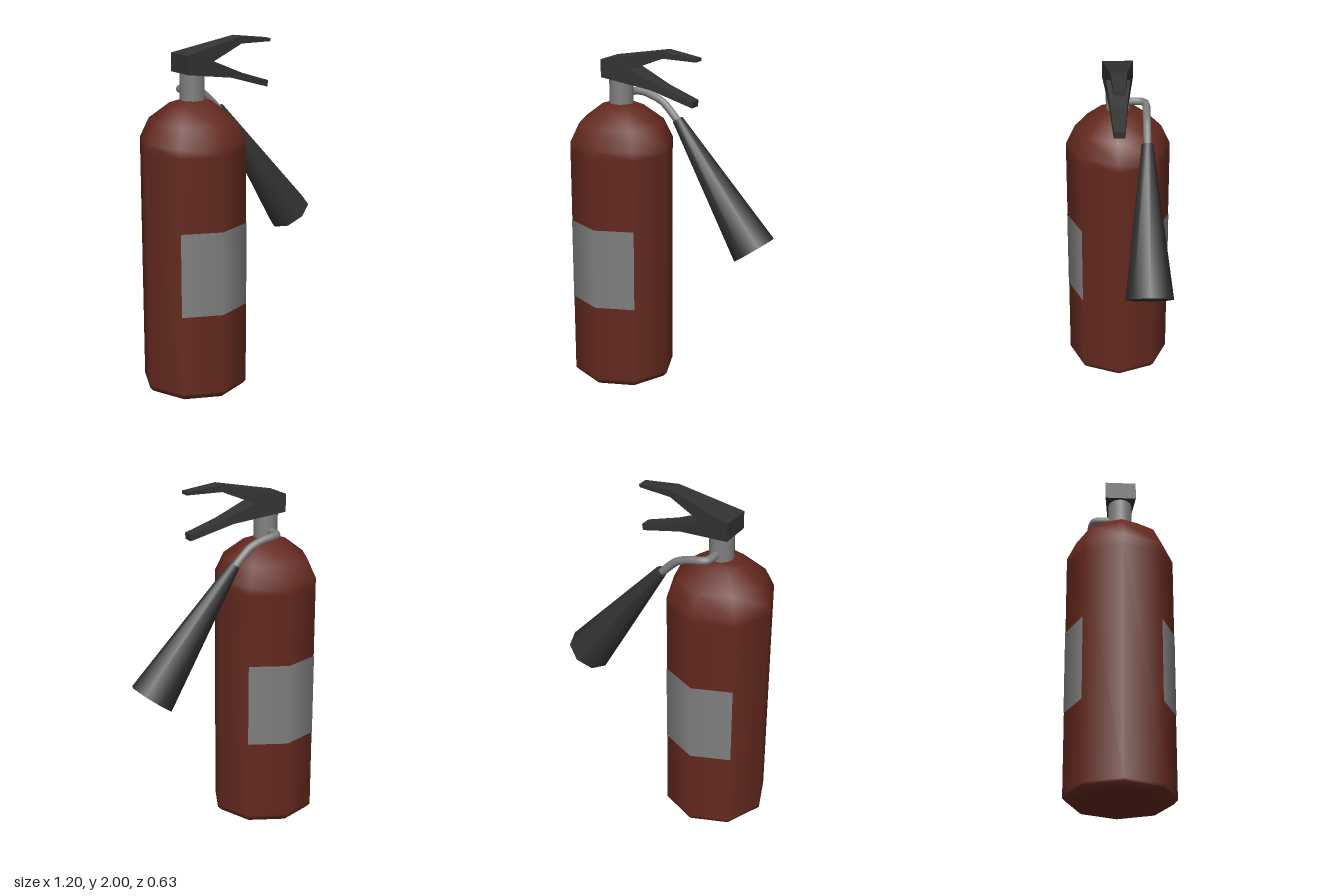
import * as THREE from 'three';

const mat = (name, color, side = THREE.FrontSide) => {
  const m = new THREE.MeshStandardMaterial({ color, side });
  m.name = name;
  return m;
};
const red = mat('dark red paint', 0x64291f);
const grey = mat('metal grey', 0x808080);
const black = mat('black plastic', 0x333333);

export function createModel() {
  const model = new THREE.Group();
  model.name = 'fireExtinguisher';
  // Everything is placed relative to the tank axis, which is turned slightly
  const unit = new THREE.Group();
  unit.name = 'extinguisher';
  unit.position.set(-0.3, 0, 0.007);
  unit.rotation.y = 0.04;
  model.add(unit);

  const add = (name, geometry, material, x = 0, y = 0, z = 0) => {
    const mesh = new THREE.Mesh(geometry, material);
    mesh.name = name;
    mesh.position.set(x, y, z);
    unit.add(mesh);
    return mesh;
  };

  // Eight-sided tank with bevelled base and domed shoulder
  const R = 0.303;
  const profile = [
    [0, 0], [0.27, 0], [0.28, 0.002], [R, 0.025], [R, 0.04], [R, 1.4],
    [R, 1.45], [0.25, 1.56], [0.13, 1.65], [0.07, 1.67], [0, 1.67],
  ].map(([r, y]) => new THREE.Vector2(r, y));
  add('tank', new THREE.LatheGeometry(profile, 8), red);

  // Labels covering two faces on the front and two on the back
  for (const [name, angle] of [['frontLabel', 0], ['backLabel', Math.PI]]) {
    const label = new THREE.CylinderGeometry(R + 0.002, R + 0.002, 0.48, 2, 1, true,
      angle - Math.PI / 4, Math.PI / 2);
    add(name, label, grey, 0, 0.74, 0);
  }

  // Neck
  add('neck', new THREE.CylinderGeometry(0.069, 0.069, 0.2, 12), grey, 0, 1.75, 0);

  // Forked lever: side outline extruded, then narrowed towards the tips
  const outline = [
    [-0.08, 1.925], [-0.08, 1.822], [0.23, 1.776], [0.487, 1.7], [0.492, 1.737],
    [0.3, 1.798], [0.1, 1.88], [0.3, 1.96], [0.507, 1.957], [0.507, 1.975], [0.3, 2],
  ].map(([x, y]) => new THREE.Vector2(x, y));
  const lever = new THREE.ExtrudeGeometry(new THREE.Shape(outline), { depth: 2, bevelEnabled: false });
  lever.translate(0, 0, -1);
  const p = lever.attributes.position;
  for (let i = 0; i < p.count; i++) {
    const x = p.getX(i);
    const half = x < 0.3 ? 0.088 - (x + 0.08) * 0.113 : 0.045 - (x - 0.3) * 0.072;
    p.setZ(i, p.getZ(i) * half);
  }
  lever.computeVertexNormals();
  add('lever', lever, black);

  // Pipe from the back of the neck, round to the horn
  const path = new THREE.CatmullRomCurve3([
    [0, 1.71, -0.04], [0, 1.71, -0.12], [0.012, 1.709, -0.148], [0.045, 1.706, -0.16],
    [0.11, 1.69, -0.16], [0.18, 1.66, -0.16], [0.23, 1.615, -0.16], [0.29, 1.55, -0.16],
  ].map((v) => new THREE.Vector3(...v)));
  add('pipe', new THREE.TubeGeometry(path, 28, 0.023, 8), grey);

  // Discharge horn
  const start = new THREE.Vector2(0.28, 1.57);
  const end = new THREE.Vector2(0.794, 0.868);
  const horn = add('horn',
    new THREE.CylinderGeometry(0.032, 0.134, start.distanceTo(end), 8), black,
    (start.x + end.x) / 2, (start.y + end.y) / 2, -0.16);
  horn.rotation.z = Math.atan2(end.x - start.x, start.y - end.y);

  return model;
}
